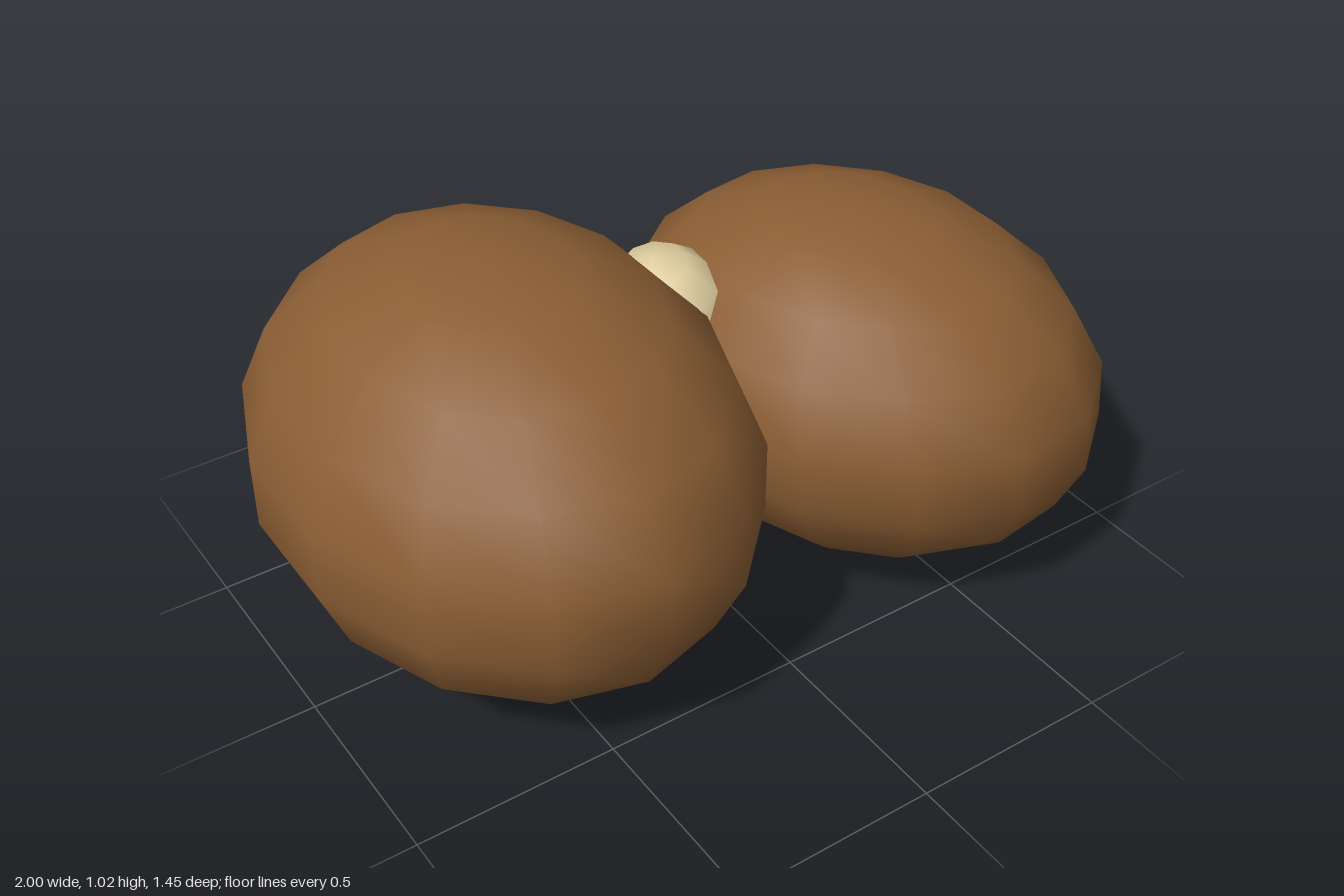
import * as THREE from 'three';

const shellBrown = new THREE.MeshStandardMaterial({ color: 0x8b5e34 });
const paleCream = new THREE.MeshStandardMaterial({ color: 0xdccb9c });
shellBrown.name = 'shellBrown';
paleCream.name = 'paleCream';

// Low-poly smooth ellipsoid: three half-axis vectors span its shape, seams face front and back
function ellipsoid(name, material, sides, rings, centre, xAxis, yAxis, zAxis) {
  const geometry = new THREE.SphereGeometry(1, sides, rings);
  geometry.rotateY(Math.PI / 2);
  geometry.applyMatrix4(new THREE.Matrix4().makeBasis(
    new THREE.Vector3(...xAxis),
    new THREE.Vector3(...yAxis),
    new THREE.Vector3(...zAxis)
  ));
  const mesh = new THREE.Mesh(geometry, material);
  mesh.name = name;
  mesh.position.set(...centre);
  return mesh;
}

export function createModel() {
  const group = new THREE.Group();
  group.name = 'twinPod';

  // Two large lobes, the left one slightly smaller and skewed
  group.add(ellipsoid('rightLobe', shellBrown, 14, 9, [-0.455, 0.515, -0.03],
    [0.567, 0, 0], [0, 0.51, 0], [0, 0, 0.71]));
  group.add(ellipsoid('leftLobe', shellBrown, 14, 9, [0.472, 0.48, 0.113],
    [0.541, 0, 0.066], [-0.05, 0.46, 0], [-0.005, 0, 0.622]));

  // Small pale sprout resting in the crease between them
  group.add(ellipsoid('sprout', paleCream, 10, 6, [0.02, 0.7, -0.04],
    [0.15, 0.04, 0], [-0.05, 0.17, 0], [0, 0, 0.175]));

  return group;
}
